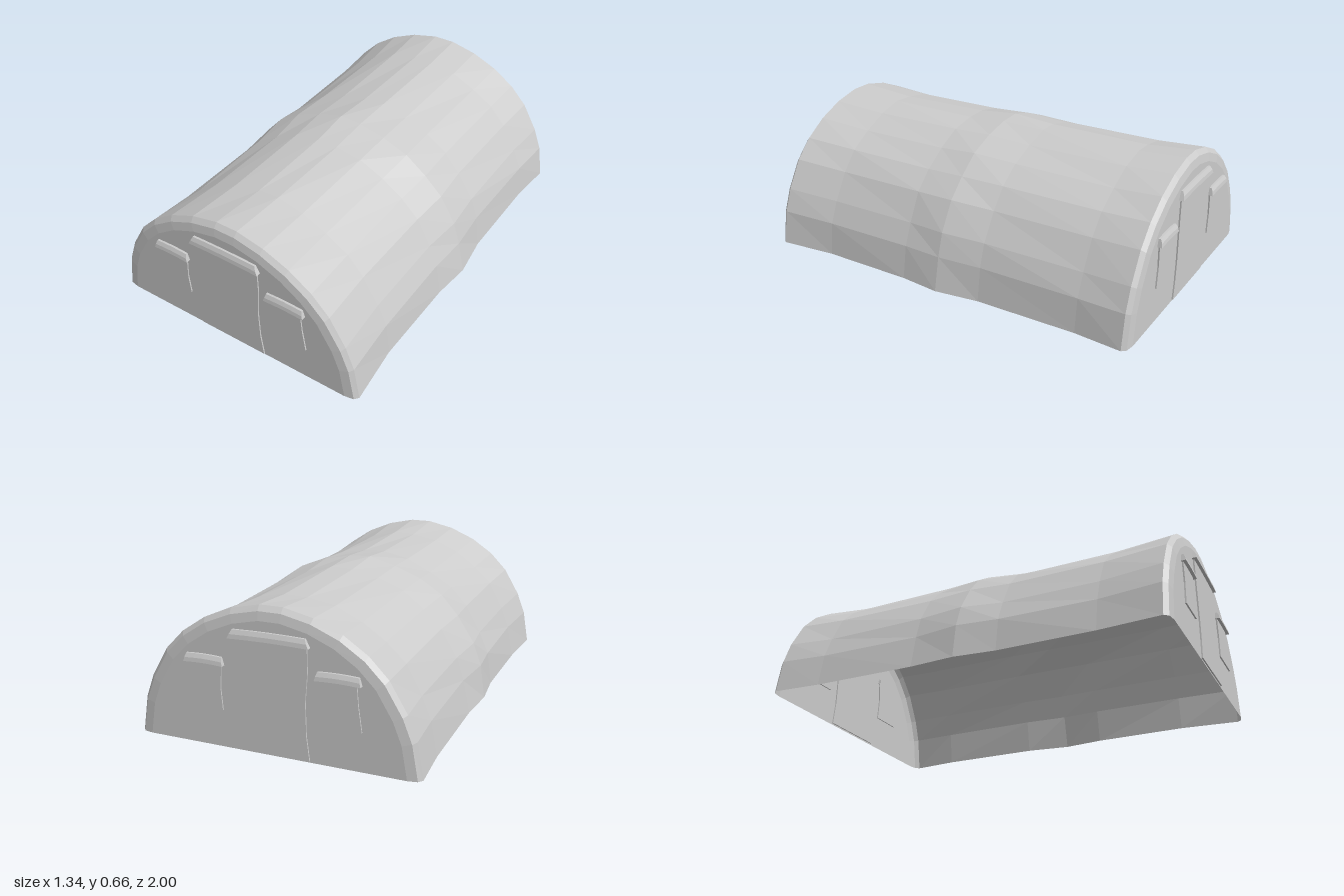
import * as THREE from 'three';

const material = new THREE.MeshStandardMaterial({ color: 0xcccccc, flatShading: true, side: THREE.DoubleSide });

// Half of the arched outline, from the ground up to the ridge
const HALF = [[0.67, 0], [0.642, 0.165], [0.6, 0.275], [0.52, 0.41], [0.432, 0.5], [0.32, 0.575], [0.19, 0.63], [0.055, 0.66]];
const ARCH = [...HALF, ...HALF.slice().reverse().map(([x, y]) => [-x, y])];

// Stations along the length: z, width scale, height scale
const STATIONS = [
  [0.978, 0.91, 0.905], [0.97, 0.975, 0.965], [0.95, 1, 1], [0.66, 0.965, 0.972], [0.2, 0.968, 0.972],
  [0, 1, 0.995], [-0.22, 0.968, 0.98], [-0.72, 0.972, 0.975], [-0.95, 1, 1], [-0.97, 0.975, 0.965], [-0.978, 0.91, 0.905],
];

function mesh(name, geometry) {
  const m = new THREE.Mesh(geometry, material);
  m.name = name;
  return m;
}

// Sagging fabric vault lofted through the stations
function canopyGeometry() {
  const positions = [], index = [], n = ARCH.length;
  STATIONS.forEach(([z, sx, sy], i) => {
    const slack = Math.abs(z) < 0.9 ? 0.006 : 0;
    ARCH.forEach(([x, y], j) => {
      const wave = 1 + slack * Math.sin(j * 2.3 + i * 1.7);
      positions.push(x * sx * wave, y * sy * wave, z);
      if (i && j) {
        const a = (i - 1) * n + j - 1, b = i * n + j - 1;
        index.push(a, b, a + 1, b, b + 1, a + 1);
      }
    });
  });
  const g = new THREE.BufferGeometry();
  g.setAttribute('position', new THREE.Float32BufferAttribute(positions, 3));
  g.setIndex(index);
  g.computeVertexNormals();
  return g;
}

const shapeOf = (points) => new THREE.Shape(points.map(([x, y]) => new THREE.Vector2(x, y)));

// Thin fabric panel lying on the end wall
function panel(name, points) {
  const g = new THREE.ExtrudeGeometry(shapeOf(points), { depth: 0.013, bevelEnabled: false });
  return mesh(name, g.translate(0, 0, 0.972));
}

// Rain flap: a box that flares outwards and sideways towards its lower edge
function flap(name, x, width, bottom, top) {
  const g = new THREE.BoxGeometry(width, top - bottom, 0.024, 4, 2, 1);
  const p = g.attributes.position, h = top - bottom;
  for (let i = 0; i < p.count; i++) {
    const t = p.getY(i) / h + 0.5;
    p.setX(i, p.getX(i) * (1 - 0.1 * t));
    if (p.getZ(i) > 0) p.setZ(i, p.getZ(i) - 0.012 * t * t);
    p.setY(i, p.getY(i) + 0.004 * Math.cos(p.getX(i) / width * Math.PI) - 0.004);
  }
  g.translate(x, (top + bottom) / 2, 0.988);
  g.computeVertexNormals();
  return mesh(name, g);
}

// One complete end: wall, door, two windows and their flaps
function tentEnd(name) {
  const end = new THREE.Group();
  end.name = name;
  const wall = new THREE.ShapeGeometry(shapeOf(ARCH.map(([x, y]) => [x * 0.91, y * 0.905])));
  end.add(mesh('endWall', wall.translate(0, 0, 0.978)));
  end.add(panel('door', [
    [-0.18, 0.008], [0.178, 0.008], [0.165, 0.12], [0.163, 0.27], [0.175, 0.4], [0.175, 0.54],
    [-0.17, 0.54], [-0.17, 0.4], [-0.166, 0.2], [-0.17, 0.1],
  ]));
  end.add(flap('doorFlap', 0, 0.375, 0.515, 0.553));
  end.add(panel('rightWindow', [[-0.4, 0.175], [-0.23, 0.175], [-0.237, 0.27], [-0.228, 0.405], [-0.395, 0.405], [-0.39, 0.28]]));
  end.add(flap('rightWindowFlap', -0.312, 0.19, 0.384, 0.42));
  end.add(panel('leftWindow', [[0.22, 0.178], [0.415, 0.178], [0.4, 0.29], [0.392, 0.405], [0.218, 0.405], [0.226, 0.28]]));
  end.add(flap('leftWindowFlap', 0.313, 0.205, 0.384, 0.42));
  return end;
}

export function createModel() {
  const model = new THREE.Group();
  model.name = 'tent';
  model.add(mesh('canopy', canopyGeometry()));
  const back = tentEnd('backEnd');
  back.rotation.y = Math.PI;
  model.add(tentEnd('frontEnd'), back);
  return model;
}
